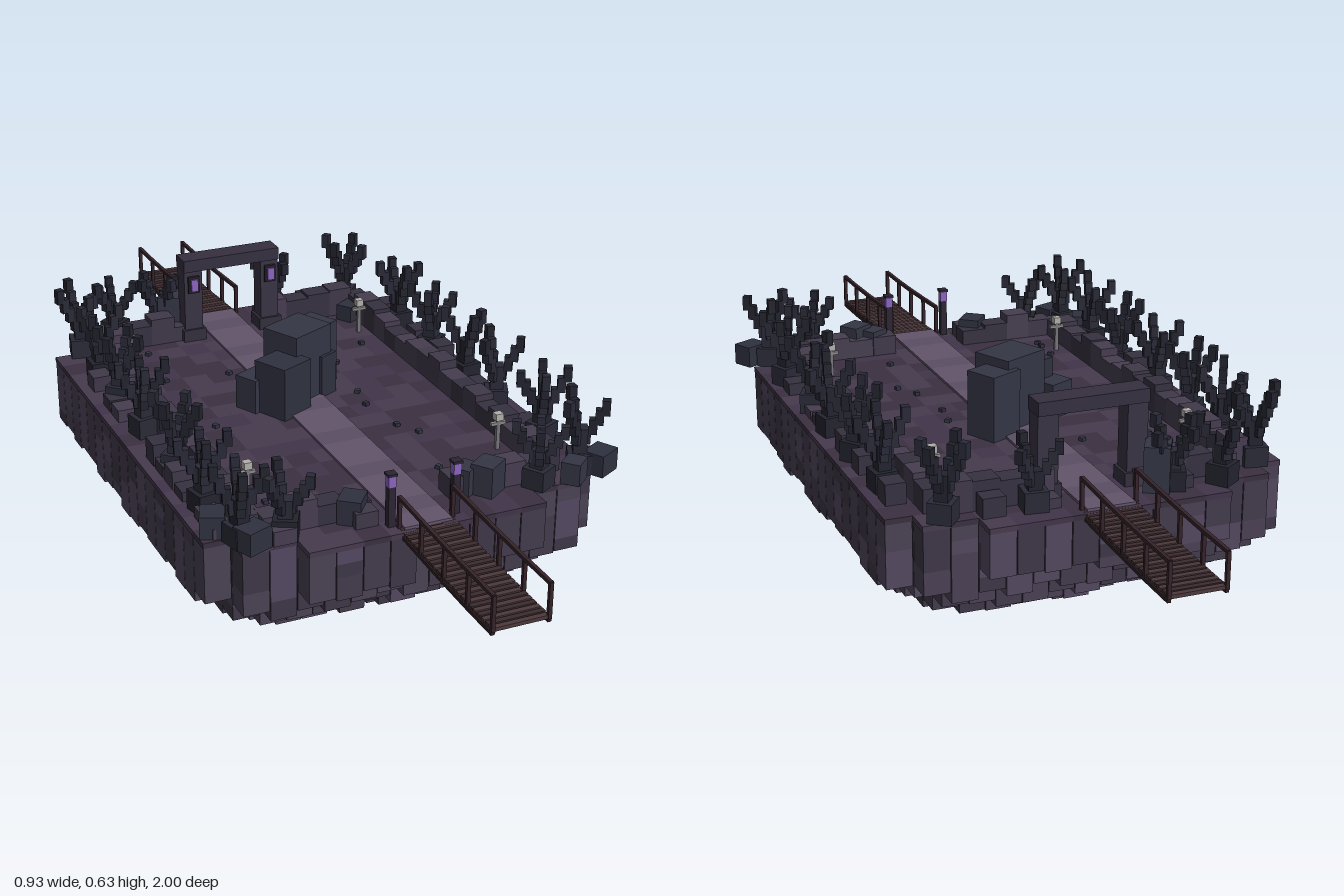
import * as THREE from 'three';
import { mergeGeometries } from 'three/addons/utils/BufferGeometryUtils.js';

const CX = -0.008;      // island centre line
const TOP = 0.42;       // ground level
const CELL = 0.0595;    // block pitch

const STONE = [0x4a4154, 0x433a4c, 0x524860, 0x3e3646];
const GROUND = [0x41354a, 0x3a3040, 0x463a4d];
const RIM = [0x3f3849, 0x363140, 0x463d50];
const ROCK = [0x2f313f, 0x343645];
const WOOD = [0x23232f, 0x2a2a38];

export function createModel() {
  const model = new THREE.Group();
  const batches = new Map();

  let seed = 7;
  const rnd = () => (seed = (seed * 16807) % 2147483647) / 2147483647;
  const pick = (list) => list[Math.floor(rnd() * list.length)];

  // Collects a box under a part name and colour; y is the underside of the box
  function box(name, color, w, h, d, x, y, z, ry = 0, rx = 0) {
    const g = new THREE.BoxGeometry(w, h, d);
    g.rotateX(rx).rotateY(ry).translate(x, y + h / 2, z);
    const key = name + '|' + color;
    if (!batches.has(key)) batches.set(key, []);
    batches.get(key).push(g);
  }

  // Island body: block columns that reach deeper toward the middle
  for (let i = -7; i <= 7; i++) {
    for (let j = -10; j <= 10; j++) {
      const a = Math.abs(i), b = Math.abs(j);
      if ((a === 7 && b > 8) || (b === 9 && a > 6) || (b === 10 && (a > 4 || (a === 0 && j > 0)))) continue;
      const rx = 0.175 * (a / 7) ** 2.5, rz = 0.225 * (b / 10) ** 3;
      const bottom = 0.07 + Math.cbrt(rx ** 3 + rz ** 3) + (a && b ? rnd() * 0.022 : 0);
      const x = CX + i * CELL, z = j * CELL;
      let y = TOP - 0.012;
      box('groundTile', pick(GROUND), CELL, 0.012, CELL, x, y, z);
      while (y > bottom + 0.001) {
        let h = 0.03 + Math.floor(rnd() * 3) * 0.03;
        if (y - h < bottom + 0.02) h = y - bottom;
        y -= h;
        box('islandStone', pick(STONE), CELL - 0.002, h, CELL - 0.002, x, y, z);
      }
    }
  }
  box('keelCap', 0x3e3646, 0.125, 0.025, 0.125, CX, 0.06, 0);
  box('keel', 0x3a3242, 0.083, 0.062, 0.083, CX, 0, 0);

  // Paved path along the middle
  for (let j = -10; j <= 10; j++) {
    box('path', j % 3 ? 0x62546a : 0x5b4e63, 0.108, 0.006, CELL, CX, TOP, j * 0.0585);
  }

  // Low broken wall around the ground
  for (const s of [-1, 1]) {
    for (let j = -8; j <= 8; j++) {
      box('rimWall', pick(RIM), 0.045, 0.04 + rnd() * 0.03, CELL, CX + s * 0.342, TOP, j * CELL);
      if (rnd() < 0.45) box('rimBlock', pick(RIM), 0.045, 0.02 + rnd() * 0.03, 0.05, CX + s * 0.4, TOP, j * CELL);
    }
    for (let i = -5; i <= 5; i++) {
      if (Math.abs(i) < 2) continue;
      box('rimWall', pick(RIM), CELL, 0.035 + rnd() * 0.035, 0.05, CX + i * CELL, TOP, s * 0.505);
      if (rnd() < 0.4) box('rimBlock', pick(RIM), 0.05, 0.02 + rnd() * 0.025, 0.04, CX + i * CELL, TOP, s * 0.555);
    }
  }

  // Bare trees: rooted trunk with stepped branches flaring upward
  function tree(x, z, height) {
    const turn = rnd() * Math.PI, k = height / 0.175;
    box('treeRoot', pick(WOOD), 0.052, 0.045, 0.052, x, TOP, z, turn);
    box('treeTrunk', pick(WOOD), 0.03, 0.1 * k, 0.03, x, TOP, z, turn);
    const n = 3 + Math.floor(rnd() * 2);
    for (let b = 0; b < n; b++) {
      const ang = turn + (b / n) * Math.PI * 2, tall = b < 2 ? 1 : 0.75 + rnd() * 0.2;
      for (let s = 0; s < 4; s++) {
        const r = 0.013 + s * 0.0125;
        box('treeBranch', pick(WOOD), 0.018, 0.034 * k, 0.018,
          x + Math.cos(ang) * r, TOP + (0.065 + s * 0.0252 * tall) * k, z + Math.sin(ang) * r, -ang);
      }
    }
  }
  const trees = [
    [-0.39, -0.5], [-0.28, -0.57], [-0.39, -0.35], [-0.39, -0.2], [-0.395, -0.02], [-0.39, 0.18],
    [-0.4, 0.37], [-0.385, 0.53], [-0.29, 0.54], [-0.17, -0.56], [0.14, -0.56], [0.33, -0.55],
    [0.39, -0.35], [0.39, -0.17], [0.395, 0], [0.39, 0.16], [0.395, 0.36], [0.395, 0.52], [0.28, 0.55],
  ];
  trees.forEach(([x, z]) => tree(x, z, Math.abs(x) > 0.32 ? 0.178 : 0.15));

  // Central boulder cluster: width, height, depth, x, z
  for (const [w, h, d, x, z] of [
    [0.12, 0.17, 0.1, 0.0, -0.08], [0.09, 0.125, 0.09, -0.065, -0.01],
    [0.085, 0.15, 0.08, 0.06, -0.135], [0.065, 0.08, 0.06, -0.115, -0.055],
    [0.05, 0.1, 0.05, 0.055, -0.07], [0.06, 0.06, 0.05, -0.035, -0.045],
  ]) box('boulder', pick(ROCK), w, h, d, x, TOP, z, 0.45);

  // Smaller rocks near the corners, gates and on the ground
  for (const [s, h, x, z] of [
    [0.065, 0.1, -0.14, -0.55], [0.06, 0.07, 0.17, 0.53], [0.06, 0.055, -0.14, 0.53],
    [0.05, 0.06, 0.13, 0.51], [0.06, 0.05, -0.42, 0.47], [0.06, 0.05, 0.435, 0.54],
    [0.05, 0.05, 0.36, 0.56], [0.06, 0.05, -0.37, 0.56], [0.05, 0.04, 0.3, -0.45],
  ]) box('rock', pick(ROCK), s, h, s * 0.85, x, TOP, z, rnd() * 1.5);
  for (let n = 0; n < 18; n++) {
    const x = (n % 2 ? 1 : -1) * (0.09 + rnd() * 0.2);
    box('pebble', pick(ROCK), 0.012, 0.008, 0.012, CX + x, TOP, (rnd() - 0.5) * 0.9, rnd());
  }

  // Rear gate with glowing lanterns
  box('gateBeam', 0x352f3f, 0.248, 0.03, 0.055, CX, 0.6, -0.495);
  for (const s of [-1, 1]) {
    const x = CX + s * 0.1;
    box('gatePost', 0x393343, 0.046, 0.18, 0.046, x, TOP, -0.495);
    box('gateFoot', 0x332e3d, 0.058, 0.03, 0.058, x, TOP, -0.495);
    box('lanternFrame', 0x25212c, 0.028, 0.042, 0.012, x, 0.546, -0.47);
    box('lanternGlow', 0x8a63c0, 0.017, 0.03, 0.014, x, 0.552, -0.466);
    // Front path lantern posts
    const fx = CX + s * 0.073;
    box('lampPost', 0x2b2533, 0.016, 0.09, 0.016, fx, TOP, 0.585);
    box('lampGlow', 0x8a63c0, 0.017, 0.024, 0.017, fx, 0.51, 0.585);
    box('lampCap', 0x2b2533, 0.021, 0.006, 0.021, fx, 0.534, 0.585);
    // Pale markers on the ground
    for (const z of [-0.36, 0.36]) {
      box('markerPost', 0x77757a, 0.009, 0.072, 0.009, CX + s * 0.293, TOP, z);
      box('markerHead', 0xb2b0aa, 0.018, 0.016, 0.018, CX + s * 0.293, 0.49, z);
      box('markerArm', 0x8d8b8c, 0.036, 0.007, 0.009, CX + s * 0.293, 0.478, z);
    }
  }

  // Plank bridges at both ends, dipping slightly outward
  for (const s of [-1, 1]) {
    const dip = (t) => -0.014 * Math.sin(t * Math.PI / 2);
    const planks = 24;
    for (let p = 0; p < planks; p++) {
      const t = (p + 0.5) / planks;
      box('bridgePlank', p % 2 ? 0x4c383b : 0x3c2b2f, 0.122, 0.008, 0.0125, CX, 0.413 + dip(t), s * (0.6 + 0.4 * t));
    }
    for (const side of [-1, 1]) {
      const x = CX + side * 0.06;
      for (let n = 0; n <= 4; n++) {
        const t = n / 4, y = dip(t);
        box('bridgePost', 0x35232a, 0.008, 0.078, 0.008, x, 0.413 + y, s * (0.6 + 0.396 * t));
        if (n === 4) continue;
        const rise = dip(t + 0.25) - y, mid = y + rise / 2, z = s * (0.65 + 0.099 * n);
        const tilt = -s * Math.atan2(rise, 0.1);
        box('bridgeRail', 0x35232a, 0.008, 0.008, 0.102, x, 0.485 + mid, z, 0, tilt);
        box('bridgeBeam', 0x2d1f24, 0.008, 0.008, 0.102, x, 0.406 + mid, z, 0, tilt);
      }
    }
  }

  // One mesh per part and colour
  for (const [key, list] of batches) {
    const [name, color] = key.split('|');
    const material = new THREE.MeshStandardMaterial({ color: Number(color), flatShading: true });
    const mesh = new THREE.Mesh(mergeGeometries(list), material);
    mesh.name = name;
    model.add(mesh);
  }
  return model;
}
